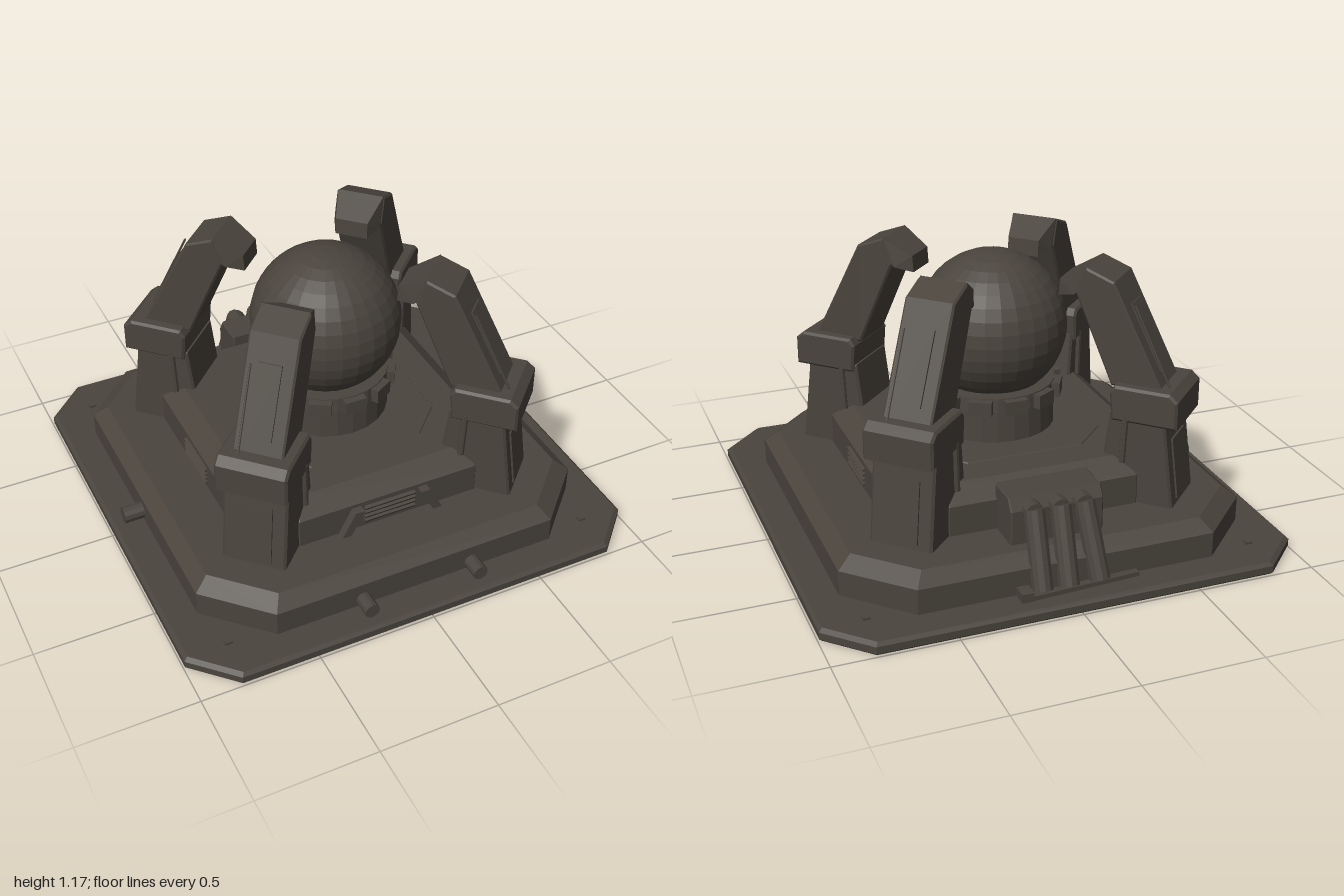
import * as THREE from 'three';

const metal = new THREE.MeshStandardMaterial({ color: 0x4a443d });
metal.name = 'darkMetal';

// Faceted mesh with hard edges
function part(name, geometry, parent, x = 0, y = 0, z = 0) {
  const g = geometry.index ? geometry.toNonIndexed() : geometry;
  g.computeVertexNormals();
  const mesh = new THREE.Mesh(g, metal);
  mesh.name = name;
  mesh.position.set(x, y, z);
  parent.add(mesh);
  return mesh;
}

const box = (w, h, d) => new THREE.BoxGeometry(w, h, d);

// Square with cut corners, lofted through [half width, corner start, height] levels
function octagonLoft(levels) {
  const rings = levels.map(([h, c, y]) =>
    [[h, -c], [h, c], [c, h], [-c, h], [-h, c], [-h, -c], [-c, -h], [c, -h]].map(([x, z]) => [x, y, z]));
  const pos = [];
  const tri = (...points) => points.forEach((p) => pos.push(...p));
  for (let i = 0; i < 8; i++) {
    const j = (i + 1) % 8;
    for (let k = 0; k < rings.length - 1; k++) {
      const a = rings[k], b = rings[k + 1];
      tri(a[i], b[i], b[j]);
      tri(a[i], b[j], a[j]);
    }
    const top = rings[rings.length - 1];
    tri([0, top[0][1], 0], top[j], top[i]);
    tri([0, rings[0][0][1], 0], rings[0][i], rings[0][j]);
  }
  const g = new THREE.BufferGeometry();
  g.setAttribute('position', new THREE.Float32BufferAttribute(pos, 3));
  return g;
}

// Side profile (radius, height) extruded to a centred thickness
function slab(points, width, bevel = 0) {
  const shape = new THREE.Shape(points.map(([x, y]) => new THREE.Vector2(x, y)));
  const g = new THREE.ExtrudeGeometry(shape, {
    depth: width - 2 * bevel, bevelEnabled: bevel > 0, bevelSize: bevel, bevelOffset: -bevel,
    bevelThickness: bevel, bevelSegments: 1,
  });
  return g.translate(0, 0, -width / 2 + bevel);
}

// Straight rod between two points
function rod(name, a, b, radius, parent, sides = 12) {
  const p = new THREE.Vector3(...a), q = new THREE.Vector3(...b);
  const mesh = part(name, new THREE.CylinderGeometry(radius, radius, p.distanceTo(q), sides), parent);
  mesh.position.copy(p).lerp(q, 0.5);
  mesh.quaternion.setFromUnitVectors(new THREE.Vector3(0, 1, 0), q.sub(p).normalize());
  return mesh;
}

function makeLeg() {
  const leg = new THREE.Group();
  part('lowerLeg', slab([[0.53, 0.28], [0.86, 0.28], [0.81, 0.68], [0.58, 0.68]], 0.27, 0.01), leg);
  part('collar', slab([[0.59, 0.65], [0.865, 0.65], [0.865, 0.77], [0.83, 0.80], [0.60, 0.80], [0.58, 0.77]], 0.3, 0.01), leg);
  part('upperArm', slab([[0.57, 0.78], [0.79, 0.78], [0.57, 1.215], [0.45, 1.26], [0.41, 1.15]], 0.21, 0.008), leg);
  // Claw narrows toward the orb
  const claw = slab([[0.40, 1.14], [0.48, 1.2], [0.45, 1.26], [0.33, 1.19], [0.325, 1.12]], 0.2);
  const p = claw.attributes.position;
  for (let i = 0; i < p.count; i++) {
    if (p.getX(i) < 0.36) p.setZ(i, p.getZ(i) * 0.7);
  }
  part('claw', claw, leg);
  // Thin plates on the outer faces
  const armPlate = part('armPlate', box(0.008, 0.3, 0.1), leg, 0.694, 0.985, 0);
  armPlate.rotation.z = Math.atan2(0.22, 0.435);
  const legPlate = part('legPlate', box(0.009, 0.26, 0.15), leg, 0.842, 0.45, 0);
  legPlate.rotation.z = Math.atan2(0.05, 0.4);
  rod('armCable', [0.81, 0.79, 0.07], [0.65, 1.12, 0.07], 0.005, leg, 6);
  for (const s of [-1, 1]) {
    rod('legPiston', [0.64, 0.47, s * 0.14], [0.65, 0.68, s * 0.14], 0.014, leg, 8);
  }
  return leg;
}

export function createModel() {
  const model = new THREE.Group();
  model.name = 'orbPedestal';

  // Stepped base
  part('basePlate', octagonLoft([[0.985, 0.82, 0.09], [0.995, 0.825, 0.1], [0.995, 0.825, 0.13], [0.98, 0.815, 0.143]]), model);
  part('middleTier', octagonLoft([[0.86, 0.62, 0.14], [0.86, 0.62, 0.25], [0.8, 0.585, 0.298]]), model);
  part('upperTier', octagonLoft([[0.6, 0.4, 0.29], [0.6, 0.4, 0.425], [0.52, 0.36, 0.49]]), model);
  part('topPanel', octagonLoft([[0.39, 0.25, 0.488], [0.385, 0.248, 0.495]]), model);

  // Pedestal, toothed ring and orb
  part('pedestal', new THREE.CylinderGeometry(0.26, 0.265, 0.16, 24), model, 0, 0.565, 0);
  part('pedestalRing', new THREE.CylinderGeometry(0.265, 0.27, 0.06, 24), model, 0, 0.66, 0);
  for (let i = 0; i < 12; i++) {
    const a = (i / 12) * Math.PI * 2;
    const tooth = part('ringTooth', box(0.05, 0.06, 0.095), model, Math.cos(a) * 0.27, 0.655, Math.sin(a) * 0.27);
    tooth.rotation.y = -a;
  }
  part('orb', new THREE.SphereGeometry(0.315, 28, 18), model, 0, 0.925, 0);

  // Four diagonal legs
  for (let i = 0; i < 4; i++) {
    const leg = makeLeg();
    leg.name = 'leg';
    leg.rotation.y = Math.PI / 4 + (i * Math.PI) / 2;
    model.add(leg);
  }

  // Vents on the front and both sides
  for (const [i, angle] of [0, Math.PI / 2, -Math.PI / 2].entries()) {
    const vent = new THREE.Group();
    vent.name = 'vent';
    vent.rotation.y = angle;
    if (i === 0) {
      for (const s of [-1, 1]) {
        const cheek = new THREE.Shape();
        [[0.13, 0.4], [0.19, 0.295], [0.23, 0.295], [0.17, 0.41], [0.13, 0.41]]
          .forEach(([x, y]) => cheek.lineTo(x * s, y));
        const points = cheek.getPoints().slice(1);
        part('ventCheek', slab(points.map((v) => [v.x, v.y]), 0.04), vent, 0, 0, 0.615);
      }
    }
    for (let k = 0; k < 4; k++) {
      const slat = part('ventSlat', box(0.23, 0.012, 0.02), vent, 0, 0.33 + k * 0.022, 0.602);
      slat.rotation.x = 0.4;
    }
    model.add(vent);
  }

  // Knobs on the front and right side
  for (const x of [-0.245, 0.245]) {
    rod('frontKnob', [x, 0.175, 0.85], [x, 0.175, 0.94], 0.032, model);
  }
  rod('sideKnob', [-0.85, 0.185, 0], [-0.945, 0.185, 0], 0.036, model);

  // Rear exhaust housing with three pipes
  part('exhaustHousing', slab([[0.58, 0.29], [0.75, 0.29], [0.75, 0.44], [0.72, 0.49], [0.58, 0.49]], 0.39, 0.006), model, 0.01).rotation.y = Math.PI / 2;
  for (const [top, bottom] of [[-0.09, -0.115], [0.01, 0.015], [0.12, 0.125]]) {
    rod('exhaustPipe', [top, 0.455, -0.775], [bottom, 0.16, -0.885], 0.043, model);
    rod('pipeElbow', [top, 0.44, -0.7], [top, 0.44, -0.785], 0.04, model);
  }
  part('pipeBracket', box(0.5, 0.02, 0.03), model, -0.03, 0.152, -0.895).rotation.y = 0.06;
  part('bracketFoot', box(0.05, 0.04, 0.07), model, 0.2, 0.16, -0.89);

  // Corner bolts on the base plate
  for (const sx of [-1, 1]) {
    for (const sz of [-1, 1]) {
      part('plateBolt', box(0.03, 0.012, 0.025), model, sx * 0.81, 0.147, sz * 0.815);
    }
  }
  return model;
}
